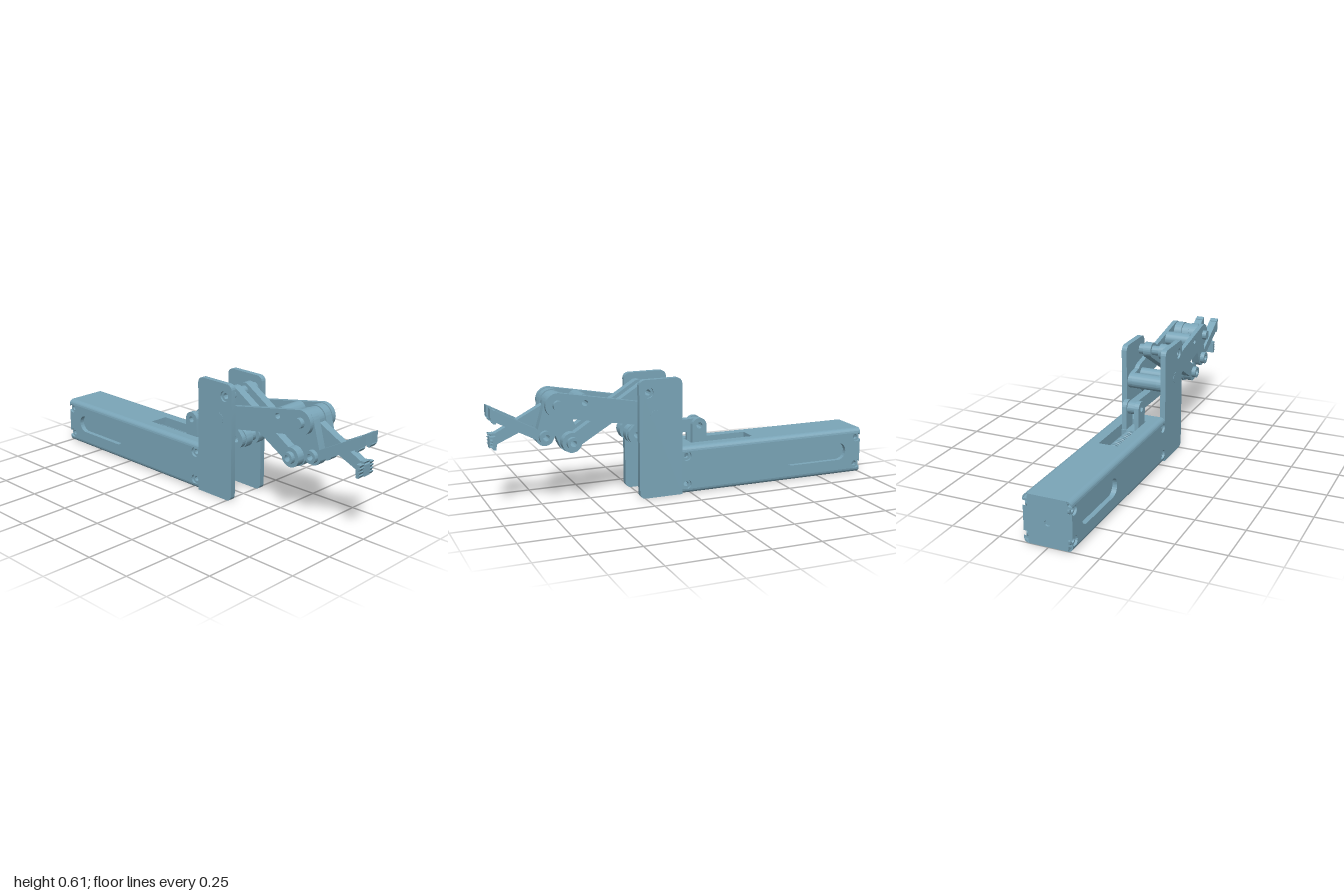
import * as THREE from 'three';
import { toCreasedNormals } from 'three/addons/utils/BufferGeometryUtils.js';

const steel = new THREE.MeshStandardMaterial({ color: 0x7aa5b8 });
steel.name = 'blue steel';

export function createModel() {
  const root = new THREE.Group();
  root.name = 'linkageGripper';

  const add = (name, geo) => {
    const m = new THREE.Mesh(geo, steel);
    m.name = name;
    root.add(m);
    return m;
  };
  const extrude = (shape, z0, z1) => {
    const g = new THREE.ExtrudeGeometry(shape, { depth: z1 - z0, bevelEnabled: false, curveSegments: 20 });
    return toCreasedNormals(g.translate(0, 0, z0), 0.5);
  };
  const circle = (C, x, y, r) => new C().absarc(x, y, r, 0, Math.PI * 2, false);
  const hole = (shape, x, y, r) => { shape.holes.push(circle(THREE.Path, x, y, r)); return shape; };
  const poly = (pts) => new THREE.Shape(pts.map(([x, y]) => new THREE.Vector2(x, y)));
  const box = (name, x0, x1, y0, y1, z0, z1) => add(name,
    new THREE.BoxGeometry(x1 - x0, y1 - y0, z1 - z0).translate((x0 + x1) / 2, (y0 + y1) / 2, (z0 + z1) / 2));
  // Same plate on both sides of the centre plane
  const pair = (name, shape, z0, z1) => {
    add(name + 'Left', extrude(shape, z0, z1));
    add(name + 'Right', extrude(shape, -z1, -z0));
  };
  // Outline around two circles, holed at each pivot
  const link = (a, r1, b, r2, h1 = 0, h2 = 0) => {
    const dx = b[0] - a[0], dy = b[1] - a[1];
    const t = Math.atan2(dy, dx), k = Math.acos((r1 - r2) / Math.hypot(dx, dy));
    const s = new THREE.Shape();
    s.absarc(a[0], a[1], r1, t + k, t - k + Math.PI * 2, false);
    s.absarc(b[0], b[1], r2, t - k, t + k, false);
    if (h1) hole(s, ...a, h1);
    if (h2) hole(s, ...b, h2);
    return s;
  };
  const ring = (p, r, h) => h ? hole(circle(THREE.Shape, ...p, r), ...p, h) : circle(THREE.Shape, ...p, r);
  const slot = (x0, x1, y, r) => {
    const s = new THREE.Path();
    s.absarc(x0 + r, y, r, Math.PI / 2, Math.PI * 1.5, false);
    s.absarc(x1 - r, y, r, -Math.PI / 2, Math.PI / 2, false);
    s.closePath();
    return s;
  };

  // Housing: hollow rounded tube made of four walls and four corners
  const H = 0.245, W = 0.122, R = 0.025, X0 = -1, X1 = 0.05;
  const side = new THREE.Shape();
  side.moveTo(X0, R).lineTo(X1, R).lineTo(X1, H - R).lineTo(X0, H - R);
  for (const y of [0.197, 0.048]) {   // open screw notches at the rear edge
    side.lineTo(X0, y + 0.012);
    side.absarc(-0.977, y, 0.024, 2.6, -2.6, true);
    side.lineTo(X0, y - 0.012);
    hole(side, 0.024, y, 0.0245);
  }
  side.closePath();
  side.holes.push(slot(-0.91, -0.54, 0.127, 0.047));
  pair('housingSide', side, W - R, W);
  const flat = () => poly([[X0, R - W], [X1, R - W], [X1, W - R], [X0, W - R]]);
  add('housingBottom', extrude(flat(), 0, R).rotateX(-Math.PI / 2));
  const top = flat();
  top.holes.push(new THREE.Path([[-0.38, -0.05], [-0.03, -0.05], [-0.03, 0.05], [-0.38, 0.05]]
    .map(([x, y]) => new THREE.Vector2(x, y))));
  add('housingTop', extrude(top, H - R, H).rotateX(-Math.PI / 2));
  for (const sy of [1, -1]) for (const sz of [1, -1]) {
    const a = Math.atan2(sy, sz) - Math.PI / 4;
    const q = new THREE.Shape().moveTo(0, 0);
    q.absarc(0, 0, R, a, a + Math.PI / 2, false);
    q.closePath();
    const g = extrude(q, X0, X1).rotateY(Math.PI / 2);
    add('housingCorner', g.translate(0, sy > 0 ? H - R : R, -sz * (W - R)));
  }

  // End caps, inner core and rear hole
  const cap = hole(poly([[-0.1, 0.01], [0.1, 0.01], [0.1, 0.235], [-0.1, 0.235]]), 0, 0.12, 0.016);
  add('rearCap', extrude(cap, -1, -0.991).rotateY(Math.PI / 2));
  box('frontCap', 0.043, 0.05, 0.002, 0.243, -0.1, 0.1);
  box('rearCore', -0.94, -0.42, 0.02, 0.225, -0.08, 0.08);
  box('frontCore', -0.42, -0.02, 0.02, 0.13, -0.08, 0.08);
  box('capNotch', 0.05, 0.055, 0.188, 0.216, -0.094, -0.074);
  for (const y of [0.1, 0.15]) for (const z of [-0.07, 0.07]) {
    add('capScrew', extrude(ring([0, 0], 0.015, 0.009), 0, 0.008).rotateY(Math.PI / 2).translate(0.05, y, z));
  }
  for (const x of [-0.975, 0.024]) for (const y of [0.048, 0.197]) {
    pair('housingScrew', ring([x, y], 0.0245, 0.013), 0.09, 0.11);
  }

  // Return spring inside the top slot
  class Helix extends THREE.Curve {
    getPoint(t, v = new THREE.Vector3()) {
      const a = t * 14 * Math.PI * 2;
      return v.set(-0.375 + 0.25 * t, 0.19 + 0.027 * Math.cos(a), 0.027 * Math.sin(a));
    }
  }
  add('spring', new THREE.TubeGeometry(new Helix(), 280, 0.005, 6));
  add('springRod', new THREE.CylinderGeometry(0.012, 0.012, 0.28, 16).rotateZ(Math.PI / 2).translate(-0.25, 0.19, 0));

  // Pivot positions
  const slider = [-0.078, 0.33], crank = [0.28, 0.325], main = [0.19, 0.42], anchor = [0.23, 0.54];
  const low = [0.605, 0.312], head = [0.682, 0.51], jaw = [0.74, 0.355], brace = [0.545, 0.51];

  // Upright side plates
  const r = 0.03, x0 = 0.05, x1 = 0.278, y1 = 0.605;
  const plate = new THREE.Shape().moveTo(x0, 0).lineTo(x1 - r, 0);
  plate.absarc(x1 - r, r, r, -Math.PI / 2, 0, false);
  plate.absarc(x1 - r, y1 - r, r, 0, Math.PI / 2, false);
  plate.absarc(x0 + r, y1 - r, r, Math.PI / 2, Math.PI, false);
  plate.closePath();
  pair('uprightPlate', hole(plate, ...anchor, 0.027), 0.094, W);
  pair('anchorBushing', ring(anchor, 0.027, 0.015), 0.066, 0.112);
  add('mainPin', extrude(ring(main, 0.03), -0.1235, 0.1235));

  // Slider clevis and push rod
  const clevis = new THREE.Shape().moveTo(-0.117, 0.13).lineTo(-0.039, 0.13);
  clevis.absarc(slider[0], slider[1], 0.039, 0, Math.PI, false);
  clevis.closePath();
  pair('clevis', hole(clevis, ...slider, 0.016), 0.022, 0.046);
  box('clevisBase', -0.125, -0.035, 0.13, 0.22, -0.046, 0.046);
  add('pushRod', extrude(link(slider, 0.033, crank, 0.033, 0.016, 0.016), -0.02, 0.02));

  // Main arm with bell crank
  pair('mainArm', hole(link(main, 0.058, head, 0.06), ...brace, 0.015), 0.068, 0.092);
  pair('crankArm', link(main, 0.05, crank, 0.045, 0, 0.016), 0.068, 0.092);
  pair('crankBoss', ring(crank, 0.05, 0.016), 0.022, 0.066);
  pair('rearArm', link([0.095, 0.41], 0.04, main, 0.045), 0.068, 0.092);
  add('rearBridge', extrude(ring([0.095, 0.41], 0.04), -0.07, 0.07));
  add('braceTube', extrude(ring(brace, 0.038, 0.015), -0.068, 0.068));

  // Coupler from the anchor to the lower pivot
  pair('coupler', link(anchor, 0.04, low, 0.035, 0.015, 0.016), 0.022, 0.065);
  add('anchorSpacer', extrude(ring(anchor, 0.025, 0.015), -0.022, 0.022));
  pair('lowBoss', ring(low, 0.05, 0.016), 0.022, 0.065);
  pair('lowCollar', ring(low, 0.03, 0.016), 0.065, 0.088);

  // Centre jaw: bell crank from the lower pivot through the head
  add('centreCrank', extrude(link(low, 0.055, head, 0.054, 0.016), -0.02, 0.02));
  add('centreFinger', extrude(poly([[0.69, 0.45], [1, 0.315], [1, 0.37], [0.72, 0.515]]), -0.02, 0.02));
  add('headPin', extrude(ring(head, 0.025), -0.115, 0.115));

  // Outer jaw: pair of bars crossing the centre finger
  pair('jawCrank', link(head, 0.058, jaw, 0.045, 0, 0.016), 0.022, 0.065);
  pair('jawCollar', ring(jaw, 0.032, 0.016), 0.065, 0.088);
  pair('jawFinger', poly([[0.765, 0.335], [1, 0.46], [1, 0.515], [0.76, 0.385]]), 0.022, 0.065);

  // Toothed grip tips
  const toothed = (y0, y1) => {
    const pts = [[0.975, y0], [0.975, y1]];
    for (let i = 0; i < 4; i++) {
      const y = y1 - (y1 - y0) * i / 4;
      pts.push([1, y], [0.988, y - (y1 - y0) / 4]);
    }
    return poly(pts.reverse());
  };
  pair('jawTip', toothed(0.44, 0.505), 0.022, 0.065);
  add('centreTip', extrude(toothed(0.31, 0.385), -0.02, 0.02));
  pair('lowerTip', toothed(0.31, 0.375), 0.022, 0.05);
  box('lowerTipBridge', 0.972, 0.984, 0.325, 0.365, -0.05, 0.05);

  return root;
}
